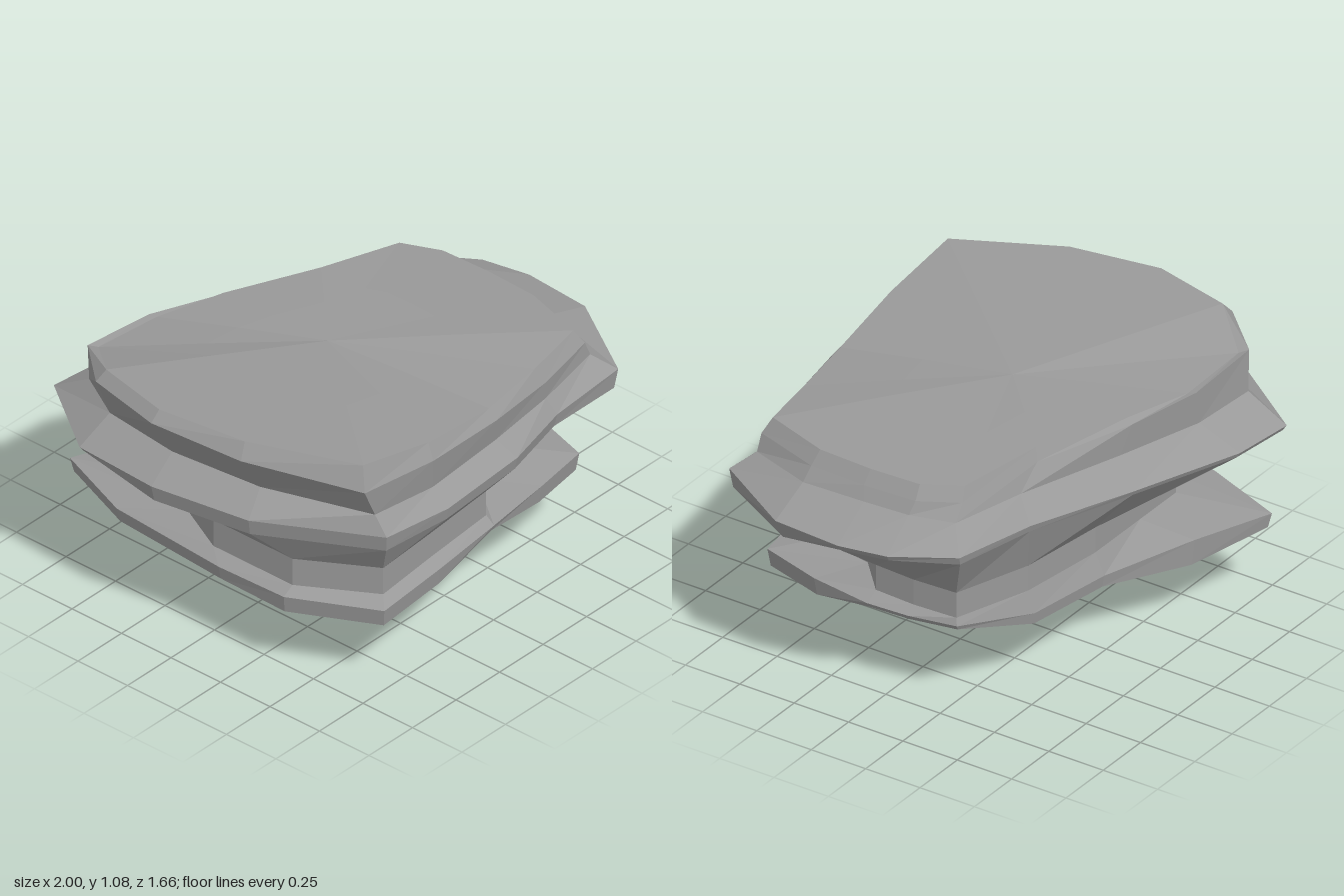
import * as THREE from 'three';

// Plan outlines (x, z), all starting at the back-left corner as seen from above
// and running along the back, right side, front and left side.
const capLedge = [
  [-.73, -.83], [-.46, -.80], [0, -.63], [.45, -.46], [.81, -.38], [.96, -.15], [1, .05], [.98, .35],
  [.75, .72], [.40, .72], [.08, .80], [-.35, .83], [-.67, .80], [-.93, .33], [-1, -.10], [-.98, -.48]];
const capNotch = [
  [-.72, -.66], [-.42, -.64], [-.05, -.53], [.40, -.38], [.72, -.30], [.77, -.12], [.78, .08], [.78, .36],
  [.68, .64], [.38, .68], [.05, .72], [-.35, .75], [-.67, .74], [-.83, .30], [-.88, -.10], [-.84, -.45]];
const capRim = [
  [-.74, -.65], [-.40, -.64], [-.10, -.55], [.29, -.38], [.66, -.29], [.74, -.13], [.75, .10], [.74, .35],
  [.65, .64], [.36, .69], [.03, .74], [-.37, .77], [-.74, .75], [-.94, .30], [-1, -.10], [-.92, -.45]];
const waist = [
  [-.54, -.45], [-.30, -.45], [0, -.45], [.38, -.40], [.70, -.29], [.71, -.10], [.70, .08], [.55, .22],
  [.50, .47], [.22, .47], [.06, .66], [-.30, .69], [-.60, .72], [-.78, .42], [-.78, .02], [-.66, -.22]];
const baseLedge = [
  [-.66, -.81], [-.33, -.68], [0, -.49], [.38, -.43], [.71, -.30], [.75, -.10], [.76, .08], [.72, .35],
  [.64, .62], [.38, .66], [.06, .70], [-.30, .74], [-.65, .77], [-.83, .42], [-.84, .10], [-.80, -.45]];
const keel = [
  [-.46, -.59], [-.26, -.48], [-.03, -.34], [.15, -.27], [.36, -.22], [.40, -.10], [.42, .08], [.40, .22],
  [.36, .36], [.22, .41], [.04, .54], [-.20, .56], [-.44, .55], [-.46, .35], [-.47, .05], [-.47, -.35]];

// Turns an outline into a 3D ring; height is a number or a rule of x and z
const ring = (outline, height, move = (x, z) => [x, z]) => outline.map(([x, z]) => {
  const [mx, mz] = move(x, z);
  return new THREE.Vector3(mx, typeof height === 'number' ? height : height(x, z), mz);
});
const shrink = (k, cx, cz) => (x, z) => [cx + (x - cx) * k, cz + (z - cz) * k];

// Skins a stack of rings listed from bottom to top
function loft(name, rings) {
  const pos = [];
  const tri = (a, b, c) => {
    if (a.equals(b) || b.equals(c) || a.equals(c)) return;
    for (const p of [a, b, c]) pos.push(p.x, p.y, p.z);
  };
  for (let i = 0; i + 1 < rings.length; i++) {
    const low = rings[i], high = rings[i + 1];
    for (let j = 0; j < low.length; j++) {
      const k = (j + 1) % low.length;
      tri(low[j], high[j], low[k]);
      tri(high[j], high[k], low[k]);
    }
  }
  const geometry = new THREE.BufferGeometry();
  geometry.setAttribute('position', new THREE.Float32BufferAttribute(pos, 3));
  geometry.computeVertexNormals();
  const mesh = new THREE.Mesh(geometry, new THREE.MeshStandardMaterial({ color: 0x999999, flatShading: true }));
  mesh.name = name;
  return mesh;
}

// Height rules
const plateau = (x, z) => 1 - .075 * x
  - .08 * Math.max(z, 0) * Math.max(1 - (x / .6) ** 2, 0) - .28 * Math.max(-z - .45, 0);
const rimUnder = (x, z) => .95 - .08 * x - .07 * Math.max(z, 0) * (x < .6 ? 1 : .2);
const notchHeight = (x, z) => .84 - .07 * Math.max(z, 0) * (Math.abs(x) < .5 ? 1 : .4);
const ledgeTop = (x, z) => (z > .5 && Math.abs(x) < .5 ? .725 : .74 + .02 * Math.max(x, 0));
const ledgeUnder = (x, z) => (z < -.3 ? .72 : x > .9 && z < .2 ? .735 : .67);
const waistTop = (x) => (x < -.5 ? .53 : .52);
const baseTop = (x, z) => (z < -.4 && x > -.1 ? .32 : .38);
function baseUnder(x, z) {
  if (z < -.4 && x > -.4) return .27;
  if (x > .7 && z < .2) return .36;
  if (z > .3) return Math.abs(x) < .1 ? .355 : .305;
  return .32;
}
const keelHeight = (x, z) => (z > .5 ? .27 : z < -.4 ? .22 : .19);

export function createModel() {
  const group = new THREE.Group();
  group.name = 'layeredRock';

  // Pointed underside, steeper at the back, and the thin lower ledge
  const taper = (side, back) => (x, z) => [x * side, z < 0 ? z * back : .12 + (z - .12) * side];
  group.add(loft('lowerRock', [
    ring(keel, 0, shrink(0, 0, .15)),
    ring(keel, .015, shrink(.2, 0, .13)),
    ring(keel, .08, taper(.64, .22)),
    ring(keel, .15, taper(.82, .38)),
    ring(keel, keelHeight),
    ring(baseLedge, baseUnder, shrink(.985, 0, 0)),
    ring(baseLedge, baseTop),
    ring(waist, .41),
  ]));

  // Recessed upright band
  group.add(loft('waistBand', [ring(waist, .41), ring(waist, waistTop)]));

  // Overhanging ledge, notch and tilted plateau
  const under = (x, z) => [x * (x > .9 && z > .2 ? .955 : .985), z * .985];
  group.add(loft('upperRock', [
    ring(waist, waistTop),
    ring(capLedge, ledgeUnder, under),
    ring(capLedge, ledgeTop),
    ring(capNotch, notchHeight),
    ring(capRim, rimUnder),
    ring(capRim, plateau, shrink(.955, -.1, 0)),
    ring(capRim, (x, z) => .5 * plateau(x, z) + .5, shrink(.5, -.1, 0)),
    ring(capRim, .995, shrink(0, -.1, 0)),
  ]));
  return group;
}
